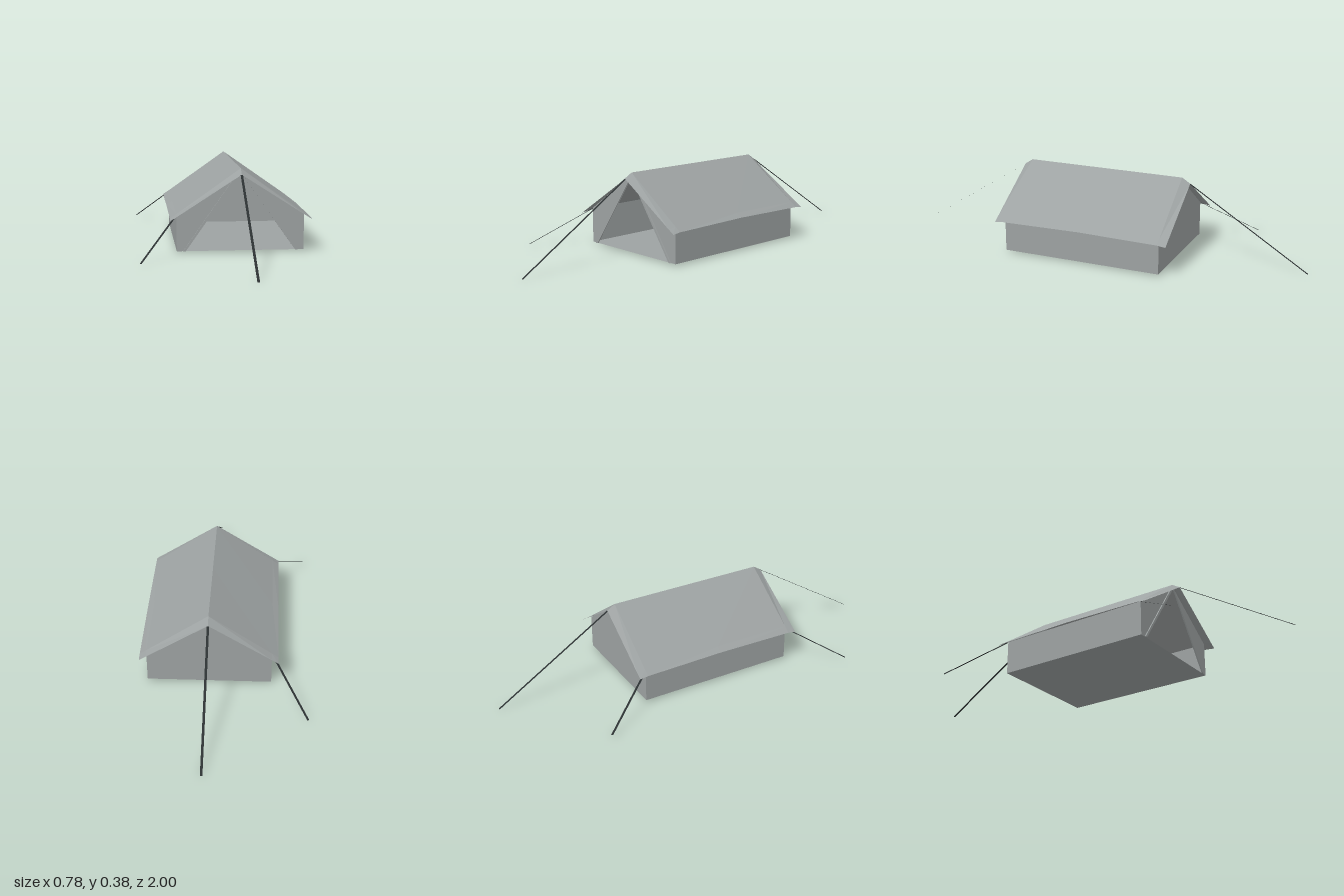
import * as THREE from 'three';

const RIDGE_X = 0.07, HALF = 0.29, FLOOR = 0.01, WALL_TOP = 0.176;
const FRONT = 0.39, BACK = -0.387;

export function createModel() {
  const tent = new THREE.Group();
  tent.name = 'tent';
  const canvas = new THREE.MeshStandardMaterial({ color: 0x9da2a2, side: THREE.DoubleSide });
  canvas.name = 'grey canvas';
  const cord = new THREE.MeshStandardMaterial({ color: 0x2b3031, side: THREE.DoubleSide });
  cord.name = 'dark cord';

  const add = (name, geometry, material) => {
    const mesh = new THREE.Mesh(geometry, material);
    mesh.name = name;
    tent.add(mesh);
    return mesh;
  };

  // Flat-shaded sheet from rows of points
  const sheet = (rows) => {
    const pos = [];
    for (let i = 0; i < rows.length - 1; i++) {
      for (let j = 0; j < rows[i].length - 1; j++) {
        const a = rows[i][j], b = rows[i][j + 1], c = rows[i + 1][j + 1], d = rows[i + 1][j];
        pos.push(...a, ...d, ...c, ...a, ...c, ...b);
      }
    }
    const g = new THREE.BufferGeometry();
    g.setAttribute('position', new THREE.Float32BufferAttribute(pos, 3));
    g.computeVertexNormals();
    return g;
  };

  // Flat upright panel; points are measured from the ridge line
  const panel = (name, points, z) => {
    const shape = new THREE.Shape(points.map(([x, y]) => new THREE.Vector2(x + RIDGE_X, y)));
    add(name, new THREE.ShapeGeometry(shape), canvas).position.z = z;
  };

  // Roof sheet: a main pitch with a drooping border on every edge
  const profiles = [
    [-0.43, 0.36, 0.174, 0.155],
    [-0.39, 0.385, 0.181, 0.16],
    [0, 0.385, 0.184, 0.166],
    [0.39, 0.385, 0.181, 0.16],
    [0.43, 0.36, 0.174, 0.155],
  ];
  add('roof', sheet(profiles.map(([z, top, knee, eave]) => [
    [RIDGE_X - 0.32, eave, z], [RIDGE_X - HALF, knee, z], [RIDGE_X, top, z],
    [RIDGE_X + HALF, knee, z], [RIDGE_X + 0.32, eave, z],
  ])), canvas);

  // Floor and long walls
  const xl = RIDGE_X - HALF, xr = RIDGE_X + HALF;
  add('floor', sheet([
    [[xl, FLOOR, BACK], [xr, FLOOR, BACK]], [[xl, FLOOR, FRONT], [xr, FLOOR, FRONT]],
  ]), canvas);
  for (const [name, x] of [['rightWall', xl], ['leftWall', xr]]) {
    add(name, sheet([
      [[x, FLOOR, BACK], [x, WALL_TOP, BACK]], [[x, FLOOR, FRONT], [x, WALL_TOP, FRONT]],
    ]), canvas);
  }

  // Closed back gable
  panel('backWall', [[-HALF, FLOOR], [HALF, FLOOR], [HALF, WALL_TOP], [0, 0.375], [-HALF, WALL_TOP]], BACK);

  // Front gable: two halves around the open doorway, each with a folded-back flap
  for (const s of [-1, 1]) {
    const side = s < 0 ? 'right' : 'left';
    panel(side + 'FrontWall', [
      [s * HALF, FLOOR], [s * 0.25, FLOOR], [s * 0.004, 0.358], [0, 0.375], [s * HALF, WALL_TOP],
    ], FRONT);
    const flap = new THREE.Shape([
      [s * 0.262, FLOOR], [s * 0.25, FLOOR], [s * 0.006, 0.357], [s * 0.03, 0.342],
    ].map(([x, y]) => new THREE.Vector2(x + RIDGE_X, y)));
    add(side + 'DoorFlap', new THREE.ExtrudeGeometry(flap, { depth: 0.006, bevelEnabled: false }), canvas)
      .position.z = FRONT;
  }

  // Guy ropes: flat ribbons, level across their width
  const rope = (name, from, to, width) => {
    const dx = to[0] - from[0], dz = to[2] - from[2], len = Math.hypot(dx, dz);
    const wx = (-dz / len) * width / 2, wz = (dx / len) * width / 2;
    const ends = ([x, y, z]) => [[x - wx, y, z - wz], [x + wx, y, z + wz]];
    add(name, sheet([ends(from), ends(to)]), cord);
  };
  for (const s of [-1, 1]) {
    const end = s < 0 ? 'back' : 'front';
    rope(end + 'RidgeRope', [RIDGE_X, 0.358, s * 0.43], [RIDGE_X, 0.002, s], 0.011);
    rope(end + 'CornerRope', [-0.224, 0.172, s * 0.39], [-0.387, 0.011, s * 0.647], 0.01);
  }
  return tent;
}
